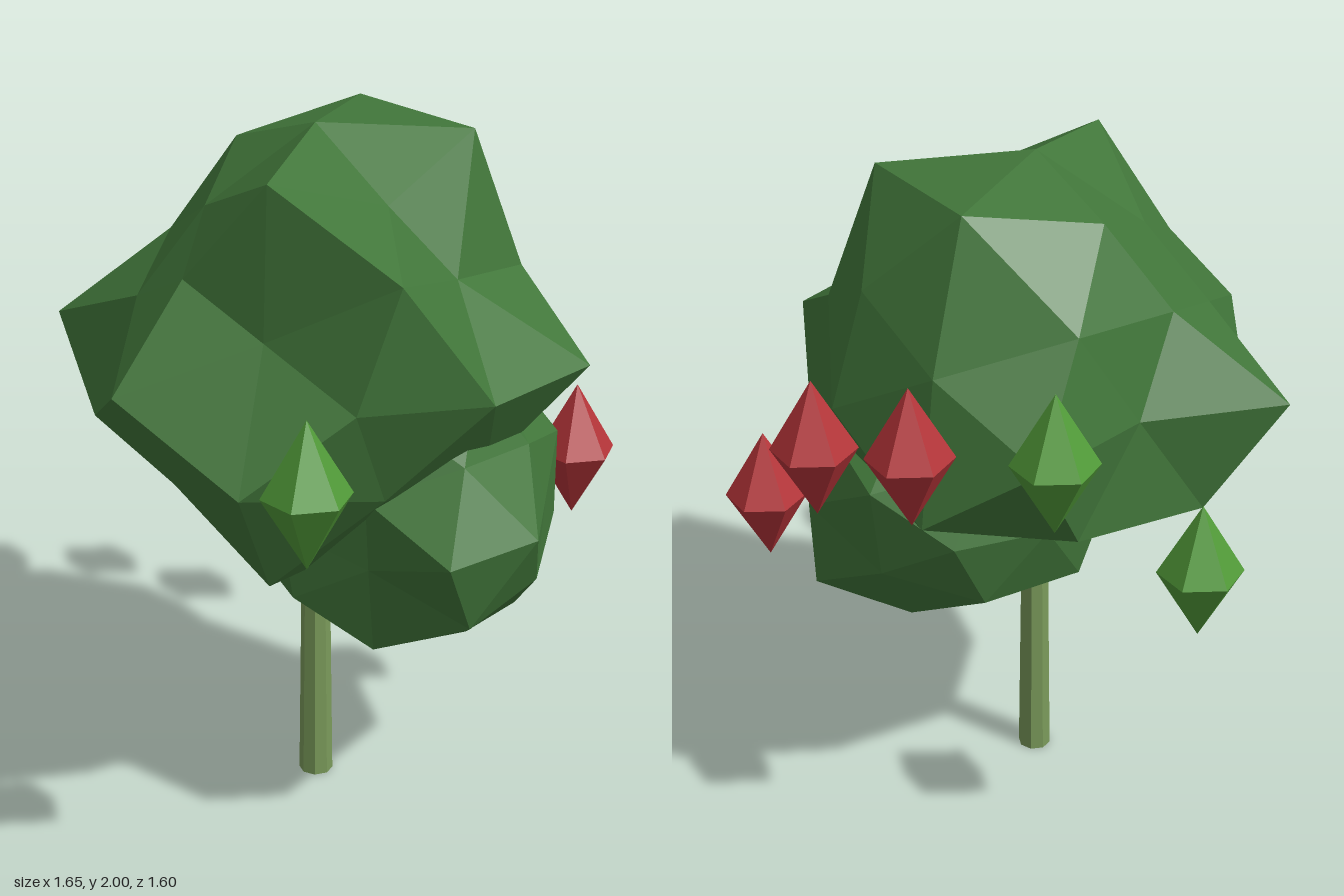
import * as THREE from 'three';

const paint = (name, color) => {
  const m = new THREE.MeshStandardMaterial({ color });
  m.name = name;
  return m;
};

// Splits shared corners so every face is shaded flat
function faceted(geometry) {
  const g = geometry.index ? geometry.toNonIndexed() : geometry;
  g.computeVertexNormals();
  return g;
}

// Faceted ball with its own radius in each of its 42 directions.
// Directions are grouped as pole, edge and face by how many axes they lie along,
// then by their longest axis (x, y, z), then by signs (+ before -).
function leafBall(radii, squash) {
  const g = new THREE.IcosahedronGeometry(1, 1);
  const p = g.attributes.position;
  const v = new THREE.Vector3();
  for (let i = 0; i < p.count; i++) {
    v.fromBufferAttribute(p, i).normalize();
    const c = v.toArray();
    const size = c.map(Math.abs);
    const axis = size.indexOf(Math.max(...size));
    const used = c.filter((n) => Math.abs(n) > 0.1);
    const kind = ['pole', 'edge', 'face'][used.length - 1];
    const signs = used.reduce((s, n) => s * 2 + (n < 0 ? 1 : 0), 0);
    v.multiplyScalar(radii[kind][axis][signs]);
    p.setXYZ(i, v.x, v.y * squash, v.z);
  }
  return faceted(g);
}

const upperRadii = {
  pole: [[0.7, 0.52], [0.647, 0.6], [0.708, 0.663]],
  edge: [
    [0.61, 0.775, 0.774, 0.73],
    [0.55, 0.6, 0.635, 0.5],
    [0.547, 0.655, 0.6, 0.6],
  ],
  face: [
    [0.717, 0.495, 0.6, 0.61, 0.535, 0.625, 0.675, 0.65],
    [0.725, 0.752, 0.74, 0.6, 0.517, 0.765, 0.53, 0.53],
    [0.49, 0.617, 0.72, 0.69, 0.52, 0.66, 0.655, 0.745],
  ],
};

const lowerRadii = {
  pole: [[0.523, 0.505], [0.46, 0.475], [0.46, 0.5]],
  edge: [
    [0.59, 0.41, 0.5, 0.53],
    [0.53, 0.5, 0.47, 0.45],
    [0.48, 0.5, 0.49, 0.575],
  ],
  face: [
    [0.475, 0.435, 0.545, 0.48, 0.5, 0.5, 0.525, 0.52],
    [0.48, 0.44, 0.53, 0.577, 0.48, 0.48, 0.43, 0.52],
    [0.43, 0.47, 0.39, 0.47, 0.48, 0.55, 0.48, 0.5],
  ],
};

export function createModel() {
  const tree = new THREE.Group();
  tree.name = 'tree';
  const leafGreen = paint('leaf green', 0x41763a);
  const podGreen = paint('pod green', 0x519a38);
  const podRed = paint('pod red', 0xb43438);
  const barkGreen = paint('bark green', 0x7a9a5a);

  const add = (name, geometry, material, x, y, z) => {
    const mesh = new THREE.Mesh(geometry, material);
    mesh.name = name;
    mesh.position.set(x, y, z);
    tree.add(mesh);
  };

  // Trunk, running up into the foliage
  add('trunk', faceted(new THREE.CylinderGeometry(0.035, 0.05, 1.2, 8)), barkGreen, 0.088, 0.6, 0.09);

  // Two overlapping masses of leaves
  add('upperFoliage', leafBall(upperRadii, 0.95), leafGreen, 0.087, 1.385, 0.09);
  add('lowerFoliage', leafBall(lowerRadii, 0.88), leafGreen, 0.3, 0.97, -0.055);

  // Six-sided pods floating around the leaves
  const pod = faceted(new THREE.SphereGeometry(1, 6, 2).scale(0.12, 0.203, 0.12));
  const greenSpots = [[-0.607, 1.455, -0.3], [-0.706, 1.05, 0.106], [0.668, 1.255, 0.634]];
  const redSpots = [[-0.345, 1.435, -0.576], [-0.035, 1.355, -0.695], [0.439, 0.96, -0.622]];
  greenSpots.forEach((s) => add('greenPod', pod, podGreen, ...s));
  redSpots.forEach((s) => add('redPod', pod, podRed, ...s));

  return tree;
}
